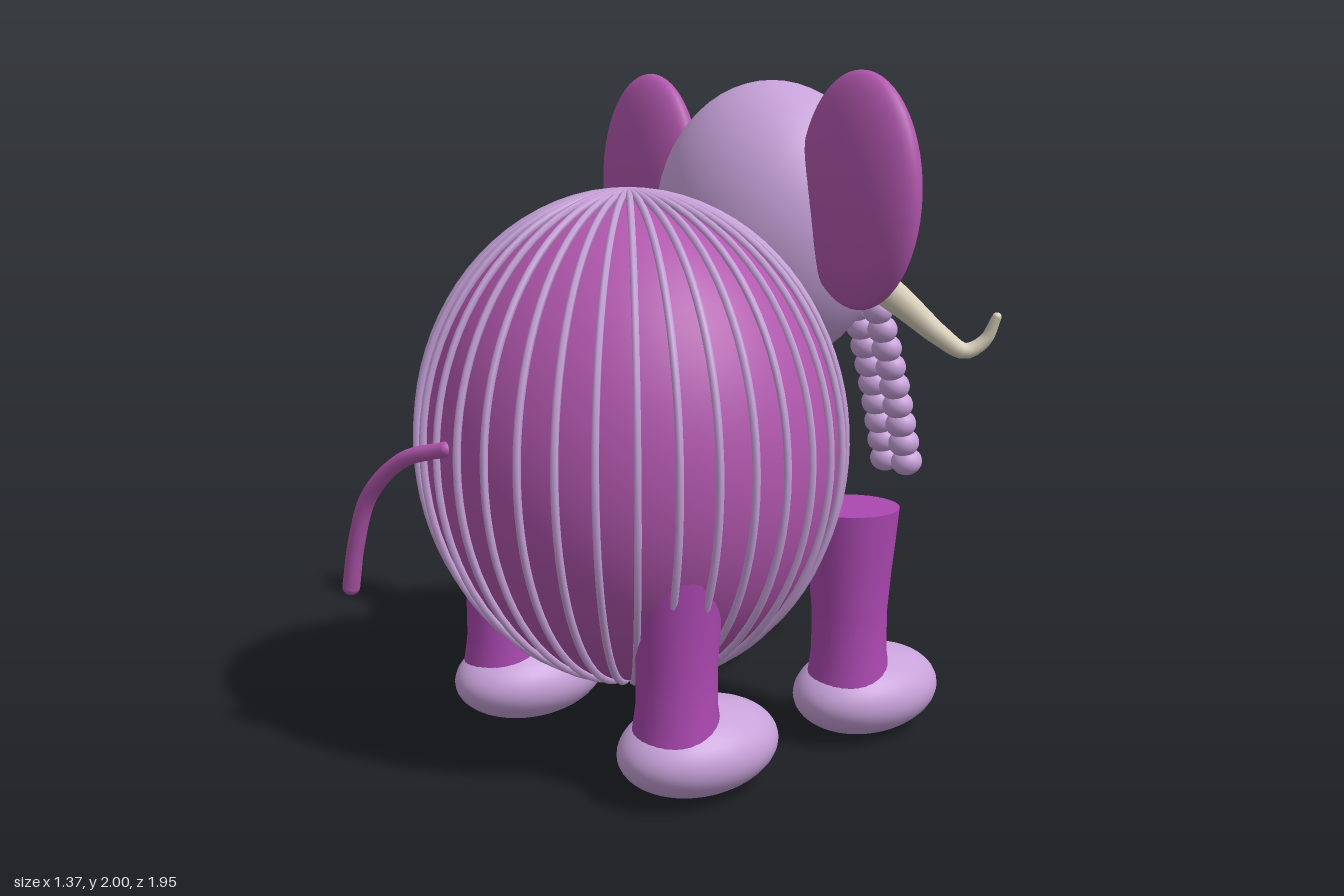
import * as THREE from 'three';

const mat = (name, color) => {
  const m = new THREE.MeshStandardMaterial({ color });
  m.name = name;
  return m;
};
const V = (x, y, z) => new THREE.Vector3(x, y, z);

// Tube along a smooth path whose radius runs from r0 to r1
function taperedTube(points, r0, r1, segs = 24, sides = 12) {
  const curve = new THREE.CatmullRomCurve3(points.map((p) => V(...p)));
  const geo = new THREE.TubeGeometry(curve, segs, 1, sides);
  const pos = geo.attributes.position;
  const v = V(0, 0, 0);
  for (let i = 0; i <= segs; i++) {
    const c = curve.getPointAt(i / segs);
    const r = r0 + (r1 - r0) * (i / segs);
    for (let j = 0; j <= sides; j++) {
      const k = i * (sides + 1) + j;
      v.fromBufferAttribute(pos, k).sub(c).multiplyScalar(r).add(c);
      pos.setXYZ(k, v.x, v.y, v.z);
    }
  }
  return geo;
}

export function createModel() {
  const model = new THREE.Group();
  model.name = 'elephant';
  const lavender = mat('lavender', 0xc8a2da);
  const magenta = mat('magenta', 0xb257ae);
  const purple = mat('leg purple', 0xab48b0);
  const ivory = mat('ivory', 0xdad0bb);
  const dark = mat('dark navy', 0x263145);
  const brown = mat('brown', 0x85552f);
  const white = mat('white', 0xf5f5f0);

  const add = (name, geo, material, parent = model) => {
    const m = new THREE.Mesh(geo, material);
    m.name = name;
    parent.add(m);
    return m;
  };
  // Fine sphere for large parts, coarser one for small parts
  const bigBall = new THREE.SphereGeometry(1, 40, 28);
  const smallBall = new THREE.SphereGeometry(1, 20, 14);
  const ellipsoid = (name, material, c, r, parent = model) => {
    const m = add(name, Math.max(...r) > 0.15 ? bigBall : smallBall, material, parent);
    m.position.set(...c);
    m.scale.set(...r);
    return m;
  };
  // Tapered tube with rounded ends
  const tube = (name, material, pts, r0, r1, parent = model) => {
    add(name, taperedTube(pts, r0, r1), material, parent);
    ellipsoid(name + 'Start', material, pts[0], [r0, r0, r0], parent);
    ellipsoid(name + 'End', material, pts[pts.length - 1], [r1, r1, r1], parent);
  };

  // Round body wrapped in meridian ribs
  const cy = 0.94, cz = 0.262;
  ellipsoid('body', magenta, [0, cy, cz], [0.648, 0.715, 0.597]);
  const ribs = new THREE.Group();
  ribs.name = 'ribs';
  model.add(ribs);
  for (let i = 0; i < 36; i++) {
    const a = (i / 36) * Math.PI * 2;
    const pts = [];
    for (let j = 0; j <= 24; j++) {
      const t = (j / 24) * Math.PI;
      const s = Math.sin(t);
      pts.push(V(0.656 * s * Math.cos(a), cy + 0.72 * Math.cos(t), cz + 0.606 * s * Math.sin(a)));
    }
    add('rib', new THREE.TubeGeometry(new THREE.CatmullRomCurve3(pts), 40, 0.011, 6), lavender, ribs);
  }

  // Tail curving out to one side
  tube('tail', magenta, [[-0.08, 0.975, 0.85], [-0.22, 0.93, 0.90], [-0.35, 0.81, 0.935],
    [-0.415, 0.66, 0.945], [-0.455, 0.52, 0.945]], 0.022, 0.026);

  // Legs and feet
  const legGeo = new THREE.LatheGeometry([[0, 0.1], [0.135, 0.1], [0.125, 0.2], [0.114, 0.28], [0.114, 0.4],
    [0.124, 0.52], [0.136, 0.63], [0.145, 0.722], [0.145, 0.722], [0, 0.722]]
    .map(([x, y]) => new THREE.Vector2(x, y)), 32);
  for (const side of [-1, 1]) {
    for (const [label, z] of [['front', -0.345], ['back', 0.35]]) {
      const leg = add(label + 'Leg', legGeo, purple);
      leg.position.set(side * 0.41, 0, z + 0.09);
      ellipsoid(label + 'Foot', lavender, [side * 0.4, 0.13, z], [0.19, 0.13, 0.255]);
    }
  }

  // Head
  const head = new THREE.Group();
  head.name = 'headGroup';
  model.add(head);
  ellipsoid('head', lavender, [0, 1.54, -0.31], [0.39, 0.437, 0.332], head);
  tube('mouth', dark, [[-0.17, 1.43, -0.595], [0, 1.37, -0.63], [0.17, 1.43, -0.595]], 0.014, 0.014, head);

  // Trunk of paired, overlapping beads
  const trunk = new THREE.Group();
  trunk.name = 'trunk';
  head.add(trunk);
  const path = new THREE.CatmullRomCurve3([V(0, 1.49, -0.65), V(0, 1.38, -0.70), V(0, 1.2, -0.775),
    V(0, 1.0, -0.845), V(0, 0.8, -0.9), V(0, 0.7, -0.925)]);
  const beads = 13;
  for (let i = 0; i < beads; i++) {
    const t = i / (beads - 1);
    const p = path.getPointAt(t);
    const dir = path.getTangentAt(t);
    for (const side of [-1, 1]) {
      const b = ellipsoid('trunkBead', lavender, [side * 0.048, p.y, p.z], [0.053, 0.047, 0.042 + 0.012 * t], trunk);
      b.rotation.x = Math.atan2(-dir.z, -dir.y);
    }
  }

  // Ears, eyes, brows and tusks on both sides
  for (const s of [-1, 1]) {
    ellipsoid('ear', magenta, [s * 0.458, 1.66, -0.212], [0.225, 0.34, 0.083], head);
    ellipsoid('eyeRim', dark, [s * 0.172, 1.67, -0.59], [0.113, 0.145, 0.047], head);
    ellipsoid('eyeball', ivory, [s * 0.172, 1.675, -0.617], [0.09, 0.118, 0.038], head);
    ellipsoid('iris', brown, [s * 0.168, 1.67, -0.645], [0.066, 0.088, 0.03], head);
    ellipsoid('pupil', dark, [s * 0.166, 1.67, -0.663], [0.042, 0.06, 0.019], head);
    ellipsoid('eyeGlint', white, [s * 0.166 + 0.014, 1.7, -0.677], [0.012, 0.014, 0.007], head);
    tube('brow', dark, [[s * 0.085, 1.85, -0.605], [s * 0.17, 1.855, -0.62], [s * 0.255, 1.825, -0.58]],
      0.017, 0.017, head);
    tube('tusk', ivory, [[s * 0.235, 1.34, -0.575], [s * 0.275, 1.265, -0.66], [s * 0.33, 1.18, -0.745],
      [s * 0.375, 1.13, -0.815], [s * 0.415, 1.165, -0.865], [s * 0.445, 1.24, -0.882]], 0.052, 0.015, head);
  }
  return model;
}
